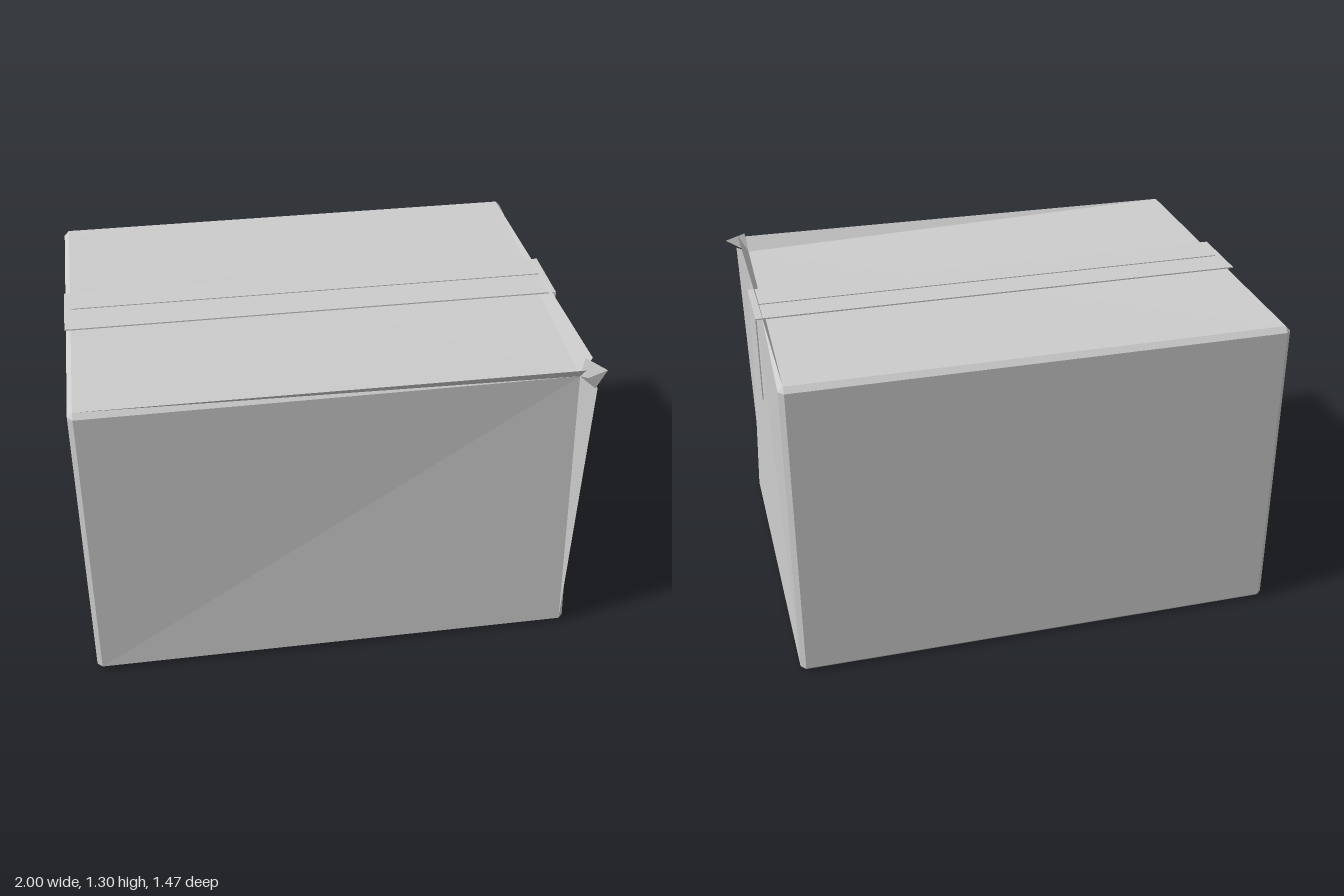
import * as THREE from 'three';

const card = new THREE.MeshStandardMaterial({ color: 0xcccccc, side: THREE.DoubleSide });
card.name = 'plain grey card';

// Flat-shaded mesh from polygons (fans), turned to face away from a centre point
function facets(name, polygons, centre) {
  const positions = [];
  for (const poly of polygons) {
    for (let i = 1; i < poly.length - 1; i++) {
      const [a, b, c] = [poly[0], poly[i], poly[i + 1]];
      const normal = b.clone().sub(a).cross(c.clone().sub(a));
      if (normal.length() < 1e-8) continue;
      const middle = a.clone().add(b).add(c).divideScalar(3).sub(centre);
      const tri = normal.dot(middle) < 0 ? [a, c, b] : [a, b, c];
      tri.forEach((p) => positions.push(p.x, p.y, p.z));
    }
  }
  const geometry = new THREE.BufferGeometry();
  geometry.setAttribute('position', new THREE.Float32BufferAttribute(positions, 3));
  geometry.computeVertexNormals();
  const mesh = new THREE.Mesh(geometry, card);
  mesh.name = name;
  return mesh;
}

const V = (x, y, z) => new THREE.Vector3(x, y, z);
const BEVEL = 0.02;
const LOW = [-0.995, 0.004, -0.735];
const HIGH = [0.955, 1.266, 0.7];
const DENT = V(0.91, 1.216, 0.65); // crushed corner, pushed inward

// Corner of one face (axis 0, 1 or 2) at the box corner given by three signs
function facePoint(axis, signs) {
  if (signs.every((s) => s > 0)) return DENT;
  const c = signs.map((s, i) => (s < 0 ? LOW[i] : HIGH[i]) - (i === axis ? 0 : s * BEVEL));
  return V(...c);
}

function signsFor(axis, s, u, v) {
  const signs = [0, 0, 0];
  signs[axis] = s;
  signs[(axis + 1) % 3] = u;
  signs[(axis + 2) % 3] = v;
  return signs;
}

export function createModel() {
  const group = new THREE.Group();
  group.name = 'cardboardBox';
  const centre = V(0, 0.63, 0);

  // Four walls and the lid; the underside stays open
  const names = [['rightHandWall', 'leftHandWall'], ['', 'lid'], ['backWall', 'frontWall']];
  for (let axis = 0; axis < 3; axis++) {
    for (const s of [-1, 1]) {
      if (axis === 1 && s < 0) continue;
      const ring = [[-1, -1], [1, -1], [1, 1], [-1, 1]];
      const poly = ring.map(([u, v]) => facePoint(axis, signsFor(axis, s, u, v)));
      group.add(facets(names[axis][(s + 1) / 2], [poly], centre));
    }
  }

  // Bevels; those that reach the crushed corner flare out into creases
  const flare = [V(0.92, 1.27, 0.695), V(0.955, 1.21, 0.725), V(0.95, 1.295, 0.65)];
  const bevels = [];
  const creases = [];
  for (let along = 0; along < 3; along++) {
    const a = (along + 1) % 3;
    const b = (along + 2) % 3;
    for (const u of [-1, 1]) {
      for (const v of [-1, 1]) {
        const start = signsFor(along, -1, u, v);
        const end = signsFor(along, 1, u, v);
        bevels.push([facePoint(a, start), facePoint(a, end), facePoint(b, end), facePoint(b, start)]);
        if (u > 0 && v > 0) {
          const anchor = along === 1 ? facePoint(2, start) : facePoint(1, start);
          creases.push([anchor, DENT, flare[along]]);
        }
      }
    }
  }
  for (const x of [-1, 1]) for (const y of [-1, 1]) for (const z of [-1, 1]) {
    bevels.push([0, 1, 2].map((axis) => facePoint(axis, [x, y, z])));
  }
  group.add(facets('bevelledEdges', bevels, centre));
  group.add(facets('flaredCreases', creases, centre));

  // Small crumpled spike at the crushed corner
  const [top, front, side, under] = [
    V(0.92, 1.3, 0.655), V(0.912, 1.26, 0.73), V(1.0, 1.26, 0.69), V(0.945, 1.21, 0.728),
  ];
  const spike = [
    [top, front, side], [front, under, side],
    [DENT, top, front], [DENT, front, under], [DENT, under, side], [DENT, side, top],
  ];
  group.add(facets('crumpledCorner', spike, V(0.938, 1.25, 0.69)));

  // Packing tape across the lid and down one end
  const plate = (name, w, h, d, x, y, z) => {
    const mesh = new THREE.Mesh(new THREE.BoxGeometry(w, h, d), card);
    mesh.name = name;
    mesh.position.set(x, y, z);
    group.add(mesh);
  };
  plate('lidTape', 1.965, 0.005, 0.28, -0.0155, 1.271, -0.018);
  plate('endTape', 0.005, 0.352, 0.28, 0.9645, 1.0975, -0.015);
  plate('lidSeam', 1.91, 0.005, 0.005, -0.015, 1.2745, -0.03);

  return group;
}
